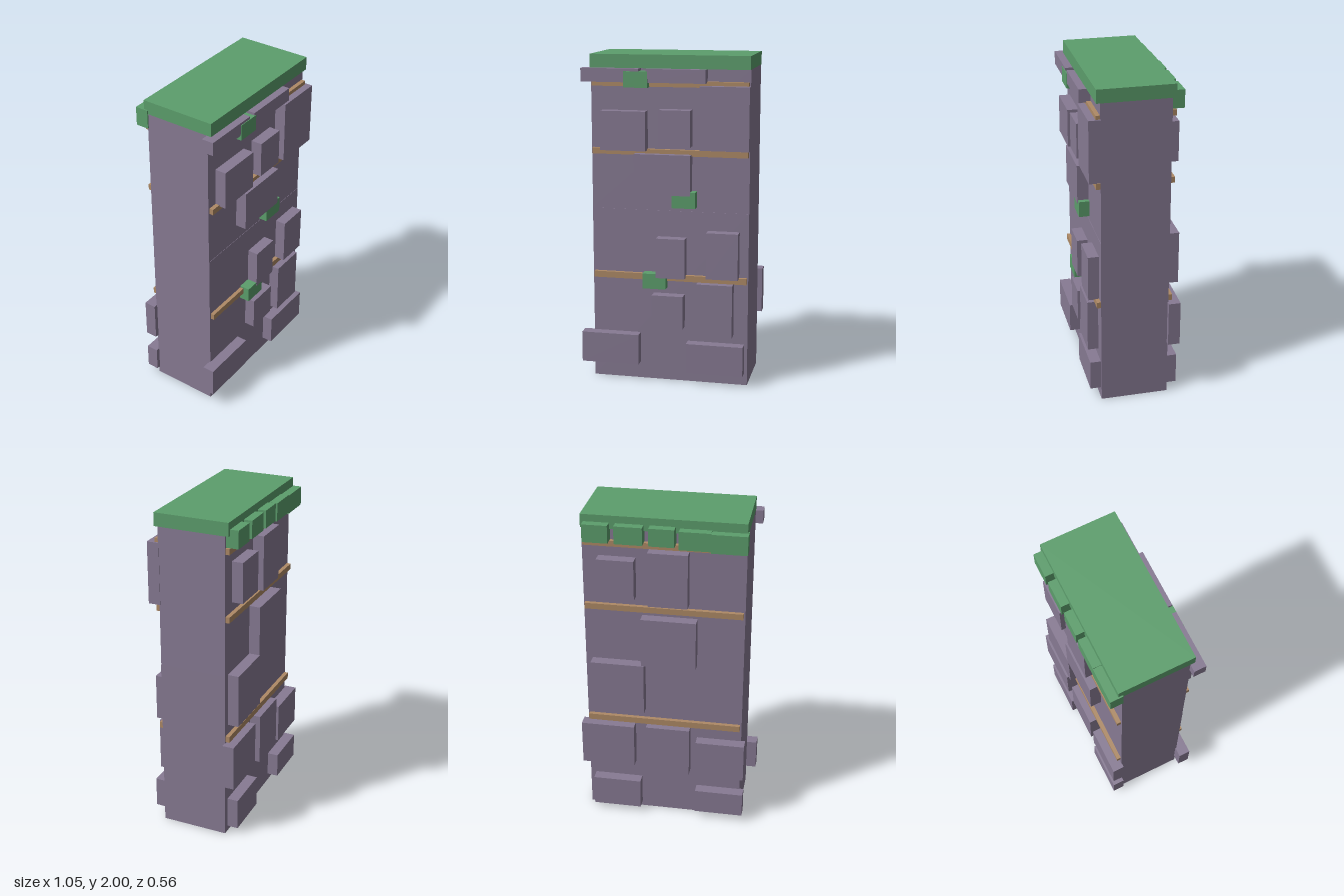
import * as THREE from 'three';

export function createModel() {
  const model = new THREE.Group();
  model.name = 'stoneWall';

  const material = (name, color) => {
    const m = new THREE.MeshStandardMaterial({ color });
    m.name = name;
    return m;
  };
  const stone = material('stone', 0x877a93);
  const moss = material('moss', 0x5c9e6c);
  const mortar = material('mortar', 0xae8a66);

  // Box given by its limits along each axis
  const block = (name, mat, x0, x1, y0, y1, z0, z1) => {
    const mesh = new THREE.Mesh(new THREE.BoxGeometry(x1 - x0, y1 - y0, z1 - z0), mat);
    mesh.position.set((x0 + x1) / 2, (y0 + y1) / 2, (z0 + z1) / 2);
    mesh.name = name;
    model.add(mesh);
  };

  // Wall core in two courses, with a mossy cap
  block('lowerWall', stone, -0.465, 0.495, 0, 1.07, -0.205, 0.207);
  block('upperWall', stone, -0.465, 0.495, 1.07, 1.92, -0.205, 0.205);
  block('mossCap', moss, -0.465, 0.495, 1.92, 2, -0.228, 0.228);

  // Horizontal bands on the front and back
  for (const [y0, y1] of [[0.64, 0.678], [1.407, 1.443], [1.813, 1.848]]) {
    block('frontBand', mortar, -0.455, 0.487, y0, y1, 0.2, 0.23);
    block('backBand', mortar, -0.455, 0.487, y0, y1, -0.23, -0.2);
  }

  // Raised stones on the front: x0, x1, y0, y1
  const frontStones = [
    [-0.51, -0.16, 1.84, 1.92], [-0.115, 0.24, 1.84, 1.92],
    [-0.395, -0.12, 1.435, 1.67], [-0.04, 0.15, 1.465, 1.682], [0.205, 0.498, 1.45, 1.825],
    [-0.19, 0.15, 1.175, 1.418],
    [-0.06, 0.117, 0.665, 0.91], [0.248, 0.44, 0.675, 0.958],
    [-0.085, 0.107, 0.35, 0.555], [0.19, 0.408, 0.312, 0.64],
    [-0.528, -0.17, 0.105, 0.295], [0.127, 0.476, 0.073, 0.26],
  ];
  for (const s of frontStones) block('frontStone', stone, ...s, 0.2, 0.273);

  // Raised stones on the back
  const backStones = [
    [-0.49, -0.19, 0.045, 0.2], [0.16, 0.46, 0.035, 0.23],
    [-0.49, -0.19, 0.315, 0.56], [-0.15, 0.12, 0.32, 0.64], [0.195, 0.525, 0.35, 0.632],
    [0.13, 0.455, 0.74, 1.068], [-0.185, 0.145, 1.072, 1.38],
    [0.18, 0.4, 1.5, 1.745], [-0.135, 0.1, 1.47, 1.805],
  ];
  for (const s of backStones) block('backStone', stone, ...s, -0.273, -0.2);

  // Moss tufts on the front
  block('mossTuft', moss, -0.25, -0.105, 1.81, 1.905, 0.2, 0.277);
  block('mossTuft', moss, 0.037, 0.18, 1.1, 1.197, 0.2, 0.27);
  block('mossTuft', moss, -0.143, 0, 0.595, 0.688, 0.2, 0.27);

  // Moss fringe hanging along the back of the cap
  const fringe = [
    [-0.473, -0.265, 1.832, 1.945], [-0.265, -0.083, 1.84, 1.95], [-0.058, 0.09, 1.85, 1.957],
    [0.126, 0.29, 1.85, 1.957], [0.326, 0.476, 1.85, 1.957],
  ];
  for (const f of fringe) block('mossFringe', moss, ...f, -0.279, -0.2);

  return model;
}
